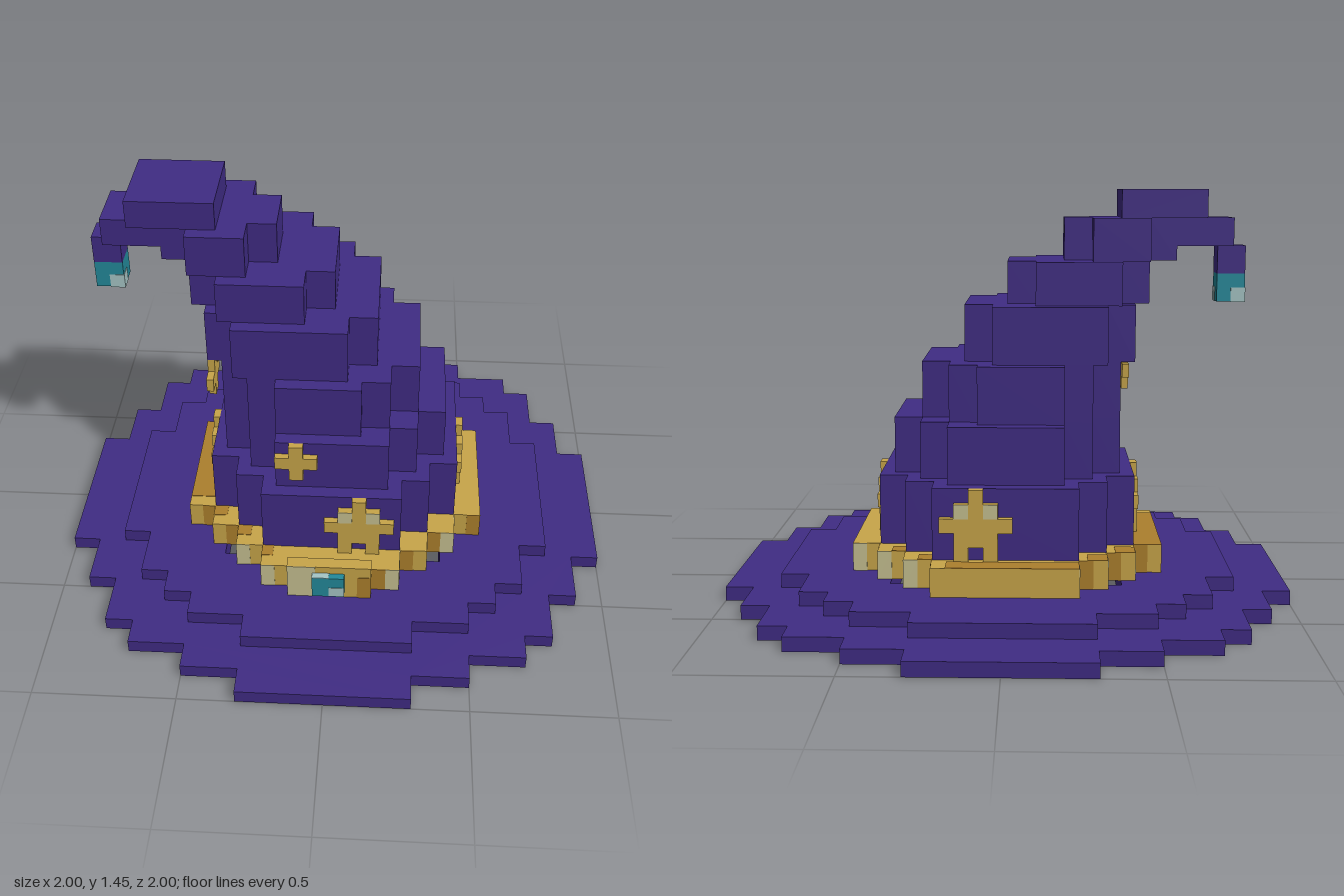
import * as THREE from 'three';

const mat = (name, color) => {
  const m = new THREE.MeshStandardMaterial({ color });
  m.name = name;
  return m;
};

export function createModel() {
  const hat = new THREE.Group();
  hat.name = 'wizardHat';
  const purple = mat('purple felt', 0x402c84);
  const gold = mat('gold', 0xc9a64a);
  const dark = mat('dark gold', 0xad802d);
  const pale = mat('pale gold', 0xc7c192);
  const teal = mat('teal gem', 0x238a9b);
  const shine = mat('gem shine', 0xa6c6c6);

  const add = (name, geo, material, parent = hat) => {
    const m = new THREE.Mesh(geo, material);
    m.name = name;
    parent.add(m);
    return m;
  };

  // Box given by its limits on each axis
  const box = (name, material, x0, x1, y0, y1, z0, z1, parent = hat) => {
    const g = new THREE.BoxGeometry(x1 - x0, y1 - y0, z1 - z0);
    g.translate((x0 + x1) / 2, (y0 + y1) / 2, (z0 + z1) / 2);
    return add(name, g, material, parent);
  };

  // Blocky disc: steps are [half width, half depth], widest first
  const slab = (name, material, steps, y0, y1, cx = 0, hole = 0) => {
    const q = [];
    steps.forEach(([a, b], i) => {
      if (i) q.push([a, steps[i - 1][1]]);
      q.push([a, b]);
    });
    const r = [...q].reverse();
    const pts = [
      ...q,
      ...r.map(([x, y]) => [-x, y]),
      ...q.map(([x, y]) => [-x, -y]),
      ...r.map(([x, y]) => [x, -y]),
    ].map(([x, y]) => new THREE.Vector2(x, y));
    const shape = new THREE.Shape(pts);
    if (hole) {
      const h = hole;
      shape.holes.push(new THREE.Path([[-h, -h], [-h, h], [h, h], [h, -h]].map(p => new THREE.Vector2(...p))));
    }
    const g = new THREE.ExtrudeGeometry(shape, { depth: y1 - y0, bevelEnabled: false });
    g.rotateX(-Math.PI / 2);
    g.translate(cx, y0, 0);
    return add(name, g, material);
  };

  // Brim, two open layers
  slab('brimLower', purple, [[1, 0.3], [0.9, 0.5], [0.8, 0.7], [0.7, 0.8], [0.5, 0.9], [0.3, 1]], 0, 0.05, 0, 0.4);
  slab('brimUpper', purple, [[0.8, 0.3], [0.7, 0.5], [0.6, 0.6], [0.5, 0.7], [0.3, 0.8]], 0.05, 0.1, 0, 0.4);

  // Cone tiers, leaning towards -x
  slab('coneTier1', purple, [[0.45, 0.25], [0.35, 0.35], [0.25, 0.45]], 0.2, 0.45);
  slab('coneTier2', purple, [[0.4, 0.2], [0.3, 0.3], [0.2, 0.4]], 0.45, 0.65);
  slab('coneTier3', purple, [[0.35, 0.2], [0.25, 0.3], [0.15, 0.35]], 0.65, 0.85, -0.05);
  slab('coneTier4', purple, [[0.3, 0.2], [0.2, 0.3]], 0.85, 1.05, -0.15);
  slab('coneTier5', purple, [[0.25, 0.15], [0.15, 0.25]], 1.05, 1.2, -0.25);
  slab('coneTier6', purple, [[0.2, 0.1], [0.1, 0.2]], 1.2, 1.35, -0.4);

  // Bent tip with hanging gem
  box('tipTop', purple, -0.7, -0.4, 1.35, 1.45, -0.15, 0.15);
  box('tipArm', purple, -0.8, -0.5, 1.25, 1.35, -0.1, 0.1);
  box('tipDrop', purple, -0.85, -0.75, 1.15, 1.25, -0.05, 0.05);
  box('tipGem', teal, -0.85, -0.75, 1.05, 1.15, -0.05, 0.05);
  box('tipGemShine', shine, -0.8, -0.748, 1.048, 1.1, 0, 0.052);
  box('tipGemShineBack', shine, -0.852, -0.8, 1.048, 1.1, -0.052, 0);

  // Band
  slab('band', gold, [[0.55, 0.25], [0.45, 0.35], [0.35, 0.45], [0.25, 0.55]], 0.1, 0.2);
  const reach = u => [0.55, 0.45, 0.35, 0.25][u < 0.25 ? 0 : u < 0.35 ? 1 : u < 0.45 ? 2 : 3];

  // Thin stripes on each side of the band, one letter per 0.05 column
  const stripes = (name, turn, code) => {
    const g = new THREE.Group();
    g.name = name;
    g.rotation.y = turn;
    hat.add(g);
    [...code].forEach((c, i) => {
      if (c === 'g') return;
      const u = -0.55 + i * 0.05;
      const d = reach(Math.abs(u + 0.025));
      box('bandStripe', c === 'd' ? dark : pale, u, u + 0.05, 0.1, 0.2, d, d + 0.002, g);
    });
  };
  stripes('frontStripes', 0, 'gdgdpgpggggggpdpdgdpgd');
  stripes('rightStripes', Math.PI / 2, 'gpgpgpggggggggggdgdgdg');
  stripes('backStripes', Math.PI, 'pgpgpgggggggggggdgdgdg');
  stripes('leftStripes', -Math.PI / 2, 'pgpgpgggggggggggdgdgdg');

  // Darker patches on top of the band
  for (const [x0, x1, z0, z1] of [
    [-0.25, 0.2, -0.55, -0.476], [-0.55, -0.45, -0.25, 0.2], [-0.35, -0.28, -0.45, -0.38],
    [-0.45, -0.38, -0.35, -0.28], [0.25, 0.3, -0.45, -0.39], [0.35, 0.4, -0.35, -0.29],
    [-0.45, -0.4, 0.25, 0.3], [-0.35, -0.3, 0.35, 0.4], [-0.25, -0.21, 0.45, 0.5],
  ]) box('bandTopPatch', dark, x0, x1, 0.2, 0.202, z0, z1);

  // Buckle and gem
  box('buckle', gold, -0.15, 0.15, 0.1, 0.245, 0.55, 0.595);
  box('bucklePale', pale, -0.15, -0.05, 0.1, 0.245, 0.595, 0.597);
  box('buckleDark', dark, 0.1, 0.15, 0.1, 0.2, 0.595, 0.597);
  box('buckleGem', teal, -0.06, 0.055, 0.125, 0.215, 0.59, 0.62);
  box('buckleGemShine', shine, 0, 0.055, 0.13, 0.17, 0.62, 0.622);
  box('buckleGemTopShine', shine, -0.06, 0, 0.215, 0.217, 0.59, 0.62);

  // Large stars around the first tier
  const bigStar = (name, turn, u) => {
    const g = new THREE.Group();
    g.name = name;
    g.rotation.y = turn;
    hat.add(g);
    const part = (x0, x1, y0, y1) => box('starBar', gold, u + x0, u + x1, y0, y1, 0.45, 0.475, g);
    part(-0.025, 0.025, 0.4, 0.45);
    part(-0.075, 0.075, 0.35, 0.4);
    part(-0.125, 0.125, 0.3, 0.35);
    part(-0.075, 0.075, 0.25, 0.3);
    part(-0.075, -0.025, 0.2, 0.25);
    part(0.025, 0.075, 0.2, 0.25);
    box('starShine', pale, u - 0.075, u - 0.025, 0.35, 0.4, 0.475, 0.477, g);
    box('starShine', pale, u + 0.025, u + 0.075, 0.35, 0.4, 0.475, 0.477, g);
  };
  bigStar('frontStar', 0, 0.1);
  bigStar('leftStar', Math.PI / 2, 0);
  bigStar('backStar', Math.PI, -0.1);
  bigStar('rightStar', -Math.PI / 2, 0);

  // Small plus-shaped stars
  const smallStar = (name, turn, u, y, d) => {
    const g = new THREE.Group();
    g.name = name;
    g.rotation.y = turn;
    hat.add(g);
    box('starUpright', gold, u - 0.025, u + 0.025, y - 0.075, y + 0.075, d, d + 0.025, g);
    for (const s of [-0.05, 0.05])
      box('starArm', gold, u + s - 0.025, u + s + 0.025, y - 0.025, y + 0.025, d, d + 0.025, g);
  };
  smallStar('smallFrontStar', 0, -0.125, 0.575, 0.4);
  smallStar('smallSideStar', -Math.PI / 2, 0.175, 0.775, 0.425);

  return hat;
}
